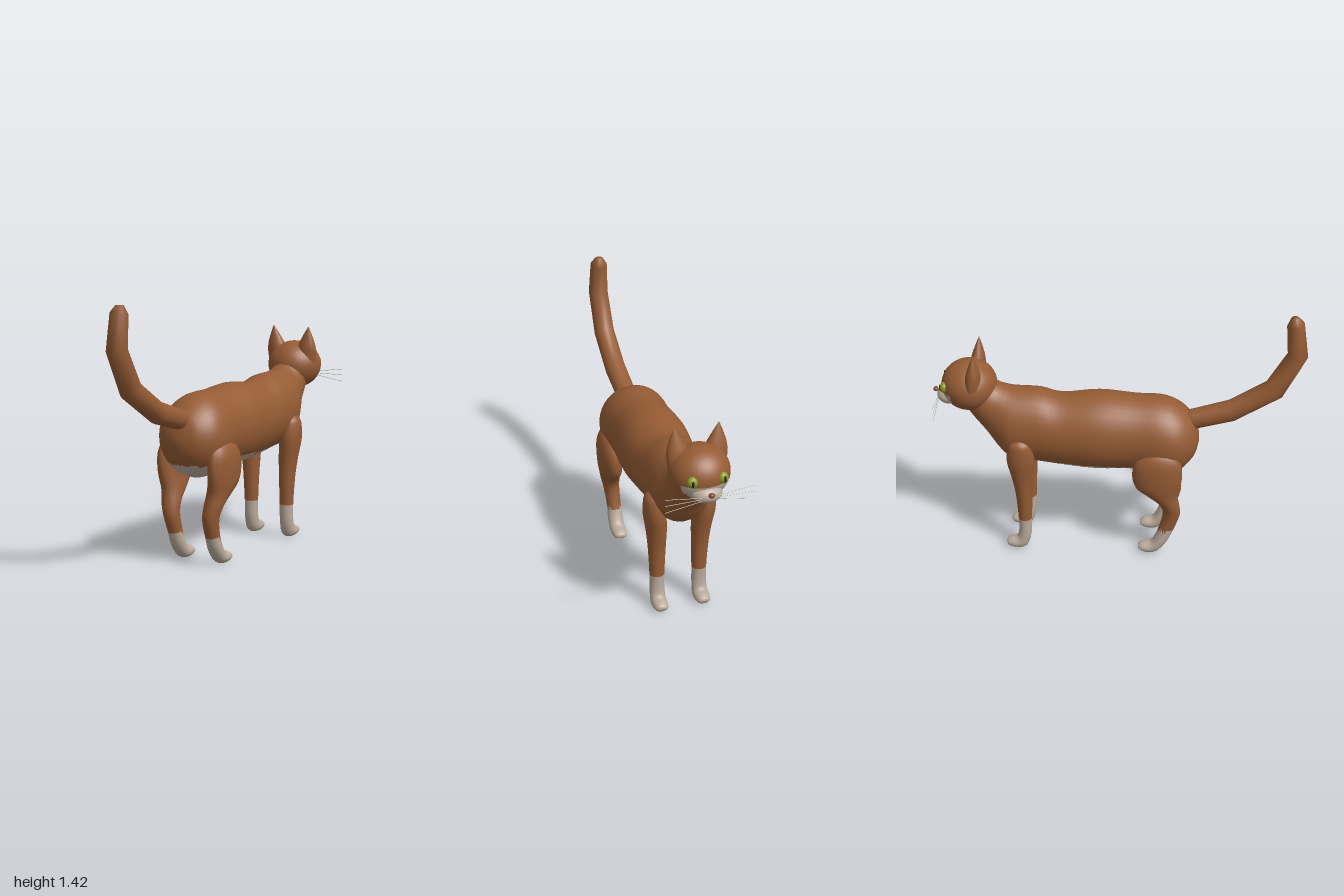
import * as THREE from 'three';

const material = (name, color) => Object.assign(new THREE.MeshStandardMaterial({ color }), { name });
const fur = material('brown fur', 0x955c34);
const cream = material('cream fur', 0xbaab9b);
const green = material('eye green', 0x8c9c20);
const black = material('pupil black', 0x1c1a14);
const pink = material('nose brown', 0x7d4a32);
const pale = material('whisker pale', 0xcfc8c0);

// Splits the faces between brown and cream by a rule on each face's centre.
function paint(geo, isCream) {
  const p = geo.attributes.position, idx = geo.index.array, parts = [[], []];
  const c = new THREE.Vector3(), v = new THREE.Vector3();
  for (let i = 0; i < idx.length; i += 3) {
    c.set(0, 0, 0);
    for (let k = 0; k < 3; k++) c.addScaledVector(v.fromBufferAttribute(p, idx[i + k]), 1 / 3);
    parts[isCream(c) ? 1 : 0].push(idx[i], idx[i + 1], idx[i + 2]);
  }
  geo.setIndex([...parts[0], ...parts[1]]);
  geo.clearGroups();
  geo.addGroup(0, parts[0].length, 0);
  geo.addGroup(parts[0].length, parts[1].length, 1);
  return geo;
}

// Lofts elliptical rings. Section: [x, z, y of one edge, z, y of the opposite edge, half width].
function loft(sections, steps, sides, mirror = 1) {
  const curve = f => new THREE.CatmullRomCurve3(sections.map(f), false, 'catmullrom', 0.5);
  const A = curve(s => new THREE.Vector3(s[0] * mirror, s[2], s[1]));
  const B = curve(s => new THREE.Vector3(s[0] * mirror, s[4], s[3]));
  const W = curve(s => new THREE.Vector3(s[5], 0, 0));
  const rings = (sections.length - 1) * steps, pos = [], idx = [];
  for (let i = 0; i <= rings; i++) {
    const a = A.getPoint(i / rings), b = B.getPoint(i / rings), w = W.getPoint(i / rings).x;
    const mid = a.clone().add(b).multiplyScalar(0.5), half = a.clone().sub(mid);
    for (let j = 0; j < sides; j++) {
      const t = j / sides * Math.PI * 2, q = mid.clone().addScaledVector(half, Math.cos(t));
      pos.push(q.x + w * Math.sin(t), q.y, q.z);
    }
    if (i === 0 || i === rings) mid.toArray(pos, 3 * (rings + 1) * sides + (i ? 3 : 0));
    if (i === 0) pos.length = 3 * sides;
    if (i === 0) pos.firstCap = mid;
  }
  const cap = (rings + 1) * sides;
  pos.firstCap.toArray(pos, 3 * cap);
  for (let j = 0; j < sides; j++) {
    const k = (j + 1) % sides;
    for (let i = 0; i < rings; i++) {
      const r = i * sides, s = r + sides;
      idx.push(r + j, s + j, r + k, r + k, s + j, s + k);
    }
    idx.push(cap, j, k, cap + 1, rings * sides + k, rings * sides + j);
  }
  // Turn all faces outward if the enclosed volume is negative
  const at = n => new THREE.Vector3().fromArray(pos, n * 3);
  let volume = 0;
  for (let i = 0; i < idx.length; i += 3) volume += at(idx[i]).dot(at(idx[i + 1]).cross(at(idx[i + 2])));
  if (volume < 0) idx.reverse();
  const geo = new THREE.BufferGeometry();
  geo.setAttribute('position', new THREE.Float32BufferAttribute(pos, 3));
  geo.setIndex(idx);
  geo.computeVertexNormals();
  return geo;
}

const BODY = [
  [0, 0.445, 0.71, 0.445, 0.67, 0.02], [0, 0.43, 0.77, 0.43, 0.61, 0.08],
  [0, 0.40, 0.83, 0.40, 0.56, 0.13], [0, 0.33, 0.89, 0.34, 0.50, 0.18],
  [0, 0.24, 0.925, 0.25, 0.47, 0.195], [0, 0.10, 0.93, 0.10, 0.50, 0.185],
  [0, -0.10, 0.945, -0.10, 0.497, 0.196], [0, -0.30, 0.925, -0.28, 0.51, 0.178],
  [0, -0.42, 0.955, -0.42, 0.525, 0.17], [0, -0.55, 0.96, -0.57, 0.545, 0.165],
  [0, -0.60, 0.97, -0.64, 0.60, 0.145], [0, -0.64, 0.985, -0.71, 0.70, 0.12],
  [0, -0.68, 1.01, -0.80, 0.82, 0.105], [0, -0.74, 1.03, -0.83, 0.89, 0.08],
];
const TAIL = [
  [0, 0.34, 0.84, 0.36, 0.74, 0.05], [0, 0.41, 0.86, 0.43, 0.75, 0.056],
  [0, 0.60, 0.92, 0.63, 0.805, 0.058], [0, 0.79, 1.04, 0.88, 0.96, 0.057],
  [0, 0.893, 1.215, 1.0, 1.20, 0.055], [0, 0.88, 1.375, 0.97, 1.395, 0.047],
  [0, 0.90, 1.425, 0.94, 1.425, 0.022],
];
const FRONT_LEG = [
  [0.13, -0.54, 0.728, -0.50, 0.728, 0.02], [0.135, -0.575, 0.70, -0.465, 0.70, 0.05],
  [0.135, -0.59, 0.66, -0.45, 0.66, 0.06], [0.135, -0.595, 0.58, -0.443, 0.58, 0.06],
  [0.125, -0.575, 0.48, -0.455, 0.48, 0.055], [0.12, -0.555, 0.36, -0.463, 0.36, 0.047],
  [0.118, -0.545, 0.20, -0.47, 0.20, 0.04], [0.118, -0.545, 0.12, -0.475, 0.10, 0.04],
  [0.118, -0.555, 0.08, -0.50, 0.02, 0.042], [0.118, -0.585, 0.068, -0.55, 0.005, 0.042],
  [0.118, -0.61, 0.055, -0.60, 0.015, 0.032], [0.118, -0.616, 0.04, -0.612, 0.03, 0.01],
];
const BACK_LEG = [
  [0.15, 0.21, 0.685, 0.25, 0.685, 0.02], [0.155, 0.14, 0.655, 0.32, 0.66, 0.045],
  [0.16, 0.10, 0.60, 0.355, 0.60, 0.06], [0.16, 0.09, 0.52, 0.36, 0.52, 0.062],
  [0.155, 0.11, 0.45, 0.35, 0.46, 0.062], [0.145, 0.17, 0.40, 0.338, 0.40, 0.06],
  [0.135, 0.235, 0.34, 0.348, 0.33, 0.053], [0.125, 0.258, 0.27, 0.353, 0.26, 0.045],
  [0.12, 0.24, 0.18, 0.32, 0.16, 0.04], [0.12, 0.215, 0.11, 0.285, 0.08, 0.043],
  [0.12, 0.19, 0.075, 0.23, 0.015, 0.043], [0.12, 0.15, 0.065, 0.175, 0.005, 0.042],
  [0.12, 0.125, 0.05, 0.135, 0.02, 0.03], [0.12, 0.122, 0.04, 0.124, 0.03, 0.01],
];

// Leaf-shaped ear, flattened on its forward side and leaning outward.
function earGeometry(side) {
  const profile = [[0.066, -0.05], [0.062, 0.02], [0.05, 0.06], [0.024, 0.115], [0.001, 0.158]];
  const geo = new THREE.LatheGeometry(profile.map(p => new THREE.Vector2(...p)), 20);
  const p = geo.attributes.position;
  for (let i = 0; i < p.count; i++) {
    const y = p.getY(i), z = p.getZ(i);
    p.setXYZ(i, p.getX(i) + side * y * 0.14, y, z * (z < 0 ? 0.6 : 0.75) + y * 0.1);
  }
  geo.computeVertexNormals();
  return geo;
}

export function createModel() {
  const cat = new THREE.Group();
  cat.name = 'cat';
  const add = (name, geo, mat, x = 0, y = 0, z = 0, parent = cat) => {
    const mesh = new THREE.Mesh(geo, mat);
    mesh.name = name;
    mesh.position.set(x, y, z);
    parent.add(mesh);
    return mesh;
  };
  const ball = (rx, ry, rz, n = 20) => new THREE.SphereGeometry(1, n, Math.round(n * 0.7)).scale(rx, ry, rz);
  const coat = [fur, cream];

  add('body', paint(loft(BODY, 4, 32), c => c.y < 0.555 && c.z > -0.6), coat);
  add('tail', loft(TAIL, 1, 16), fur);

  // Head and muzzle
  const head = new THREE.Group();
  head.name = 'head';
  cat.add(head);
  add('skull', paint(ball(0.156, 0.138, 0.15, 40), c => c.z < -0.085 && c.y < -0.015 && c.y > -0.1),
    coat, 0, 0.978, -0.798, head);
  add('muzzle', ball(0.08, 0.048, 0.07, 24), cream, 0, 0.915, -0.906, head);
  add('nose', ball(0.017, 0.013, 0.014), pink, 0, 0.939, -0.983, head);

  for (const side of [1, -1]) {
    const label = side > 0 ? 'left' : 'right';
    add(label + 'FrontLeg', paint(loft(FRONT_LEG, 3, 20, side), c => c.y < 0.19), coat);
    add(label + 'BackLeg', paint(loft(BACK_LEG, 3, 20, side), c => c.y < 0.16), coat);
    add(label + 'Ear', earGeometry(side), fur, side * 0.094, 1.047, -0.768, head);
    add(label + 'Eye', ball(0.028, 0.03, 0.024), green, side * 0.078, 0.992, -0.922, head);
    add(label + 'Pupil', ball(0.006, 0.019, 0.005, 12), black, side * 0.082, 0.992, -0.944, head);

    // Whiskers fan out from the cheek
    for (const rise of [0.035, 0, -0.038]) {
      const path = new THREE.LineCurve3(
        new THREE.Vector3(side * 0.03, 0.912 + rise * 0.2, -0.963),
        new THREE.Vector3(side * 0.23, 0.91 + rise, -0.963));
      add(label + 'Whisker', new THREE.TubeGeometry(path, 1, 0.0015, 5), pale, 0, 0, 0, head);
    }
  }
  return cat;
}
